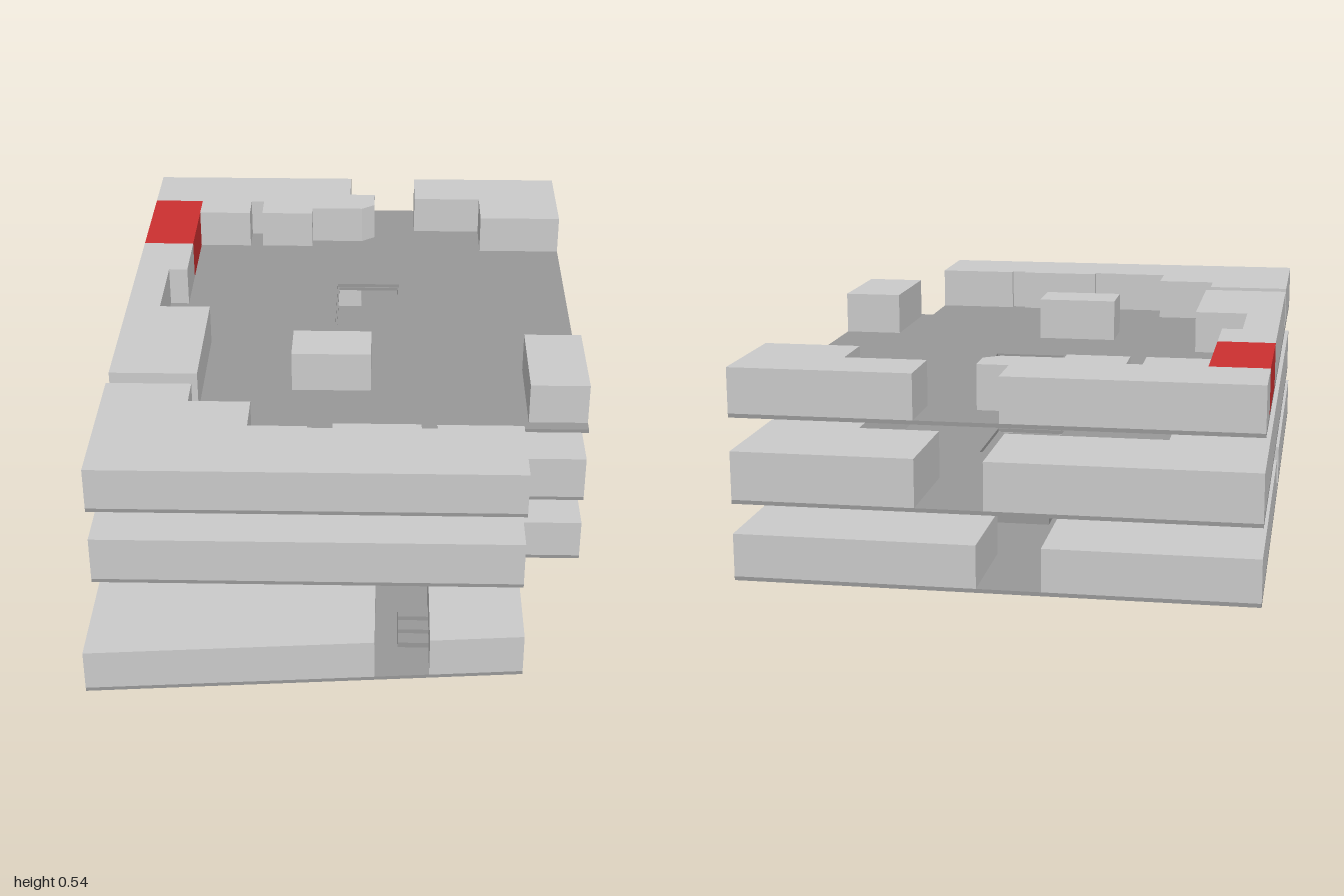
import * as THREE from 'three';

const roomMat = new THREE.MeshStandardMaterial({ color: 0xcccccc });
const slabMat = new THREE.MeshStandardMaterial({ color: 0x999999, side: THREE.DoubleSide });
const redMat = new THREE.MeshStandardMaterial({ color: 0xcc3030 });

// rectangle as [x, z] plan corners
const rect = (x0, x1, z0, z1) => [[x0, z0], [x1, z0], [x1, z1], [x0, z1]];
const SHAFT = rect(-0.05, 0.14, -0.45, -0.18);

// raise a plan outline of [x, z] corners from y0 to y1
function raise(name, outline, y0, y1, mat = roomMat, hole = null) {
  const points = (list) => list.map(([x, z]) => new THREE.Vector2(x, -z));
  const shape = new THREE.Shape(points(outline));
  if (hole) shape.holes.push(new THREE.Path(points(hole)));
  const geo = new THREE.ExtrudeGeometry(shape, { depth: y1 - y0, bevelEnabled: false });
  geo.rotateX(-Math.PI / 2);
  const mesh = new THREE.Mesh(geo, mat);
  mesh.position.y = y0;
  mesh.name = name;
  return mesh;
}

// one storey: a thin slab with the room blocks standing on it
function storey(name, y0, y1, outline, rooms) {
  const group = new THREE.Group();
  group.name = name;
  group.add(raise('floorSlab', outline, y0, y0 + 0.01, slabMat, SHAFT));
  for (const [room, plan, mat] of rooms) group.add(raise(room, plan, y0 + 0.01, y1, mat));
  return group;
}

export function createModel() {
  const model = new THREE.Group();
  model.name = 'floorStack';

  // ground floor with a slanted front edge
  const groundPlan = [[-0.65, -1], [0.65, -1], [0.65, 0.4], [0.46, 0.4], [0.46, 0.91], [-0.65, 1]];
  const ground = storey('groundFloor', 0, 0.12, groundPlan, [
    ['backRightRooms', [[-0.65, -1], [-0.12, -1], [-0.12, -0.72], [-0.4, -0.72], [-0.4, -0.08], [-0.65, -0.08]]],
    ['frontRightRooms', [[-0.65, 0.07], [-0.4, 0.07], [-0.4, 0.55], [0.08, 0.55], [0.08, 0.941], [-0.65, 1]]],
    ['frontLeftRooms', [[0.22, 0.93], [0.22, 0.55], [0.4, 0.55], [0.4, -0.58], [0.65, -0.58],
      [0.65, 0.4], [0.46, 0.4], [0.46, 0.91]]],
    ['backLeftRooms', [[0.04, -1], [0.65, -1], [0.65, -0.65], [0.4, -0.65], [0.4, -0.72], [0.04, -0.72]]],
  ]);
  // steps in the front entrance
  for (let i = 0; i < 3; i++) {
    ground.add(raise('entranceStep', rect(0.14, 0.22, 0.78 - i * 0.04, 0.82 - i * 0.04), 0.01, 0.025 + i * 0.012, slabMat));
  }
  model.add(ground);

  // middle floor
  const upperPlan = [[-0.65, -1], [0.65, -1], [0.65, 0.4], [0.46, 0.4], [0.46, 0.805], [-0.65, 0.805]];
  model.add(storey('middleFloor', 0.197, 0.33, upperPlan, [
    ['rightAndFrontRooms', [[-0.65, -1], [0.02, -1], [0.02, -0.72], [-0.4, -0.72], [-0.4, 0.55], [0.3, 0.55],
      [0.3, 0.02], [0.65, 0.02], [0.65, 0.4], [0.46, 0.4], [0.46, 0.805], [-0.65, 0.805]]],
    ['backLeftRooms', [[0.19, -1], [0.65, -1], [0.65, -0.02], [0.4, -0.02], [0.4, -0.72], [0.19, -0.72]]],
  ]));

  // top floor, open around a wide hall
  model.add(storey('topFloor', 0.415, 0.54, upperPlan, [
    ['backRooms', [[-0.65, -1], [-0.02, -1], [-0.02, -0.87], [0.06, -0.87], [0.06, -0.79], [0.02, -0.76],
      [-0.14, -0.76], [-0.14, -0.72], [-0.3, -0.72], [-0.3, -0.81], [-0.34, -0.81], [-0.34, -0.72],
      [-0.5, -0.72], [-0.5, -0.81], [-0.65, -0.81]]],
    ['redRoom', rect(-0.65, -0.5, -0.81, -0.49), redMat],
    ['rightRooms', [[-0.65, -0.49], [-0.5, -0.49], [-0.5, -0.31], [-0.555, -0.31], [-0.555, -0.07],
      [-0.41, -0.07], [-0.41, 0.32], [-0.65, 0.32]]],
    ['frontRooms', [[-0.65, 0.375], [-0.42, 0.375], [-0.42, 0.465], [-0.255, 0.465], [-0.255, 0.585],
      [-0.1, 0.585], [-0.1, 0.593], [-0.035, 0.593], [-0.035, 0.57], [0.195, 0.57], [0.195, 0.59],
      [0.235, 0.59], [0.235, 0.572], [0.46, 0.572], [0.46, 0.805], [-0.65, 0.805]]],
    ['backLeftRooms', [[0.19, -1], [0.65, -1], [0.65, -0.695], [0.4, -0.695], [0.4, -0.84], [0.19, -0.84]]],
    ['leftRoom', rect(0.49, 0.65, 0.08, 0.365)],
    ['centreRoom', rect(-0.16, 0.06, 0.07, 0.205)],
  ]));

  // lift shaft: closed by a lid above the ground floor, open underneath
  const shaftWalls = rect(-0.045, 0.135, -0.445, -0.185);
  model.add(raise('liftShaftWalls', SHAFT, 0.01, 0.125, slabMat, shaftWalls));
  model.add(raise('liftShaftLid', SHAFT, 0.125, 0.13, slabMat));
  // collar below the top slab
  model.add(raise('liftShaftCollar', SHAFT, 0.406, 0.415, slabMat, shaftWalls));

  return model;
}
